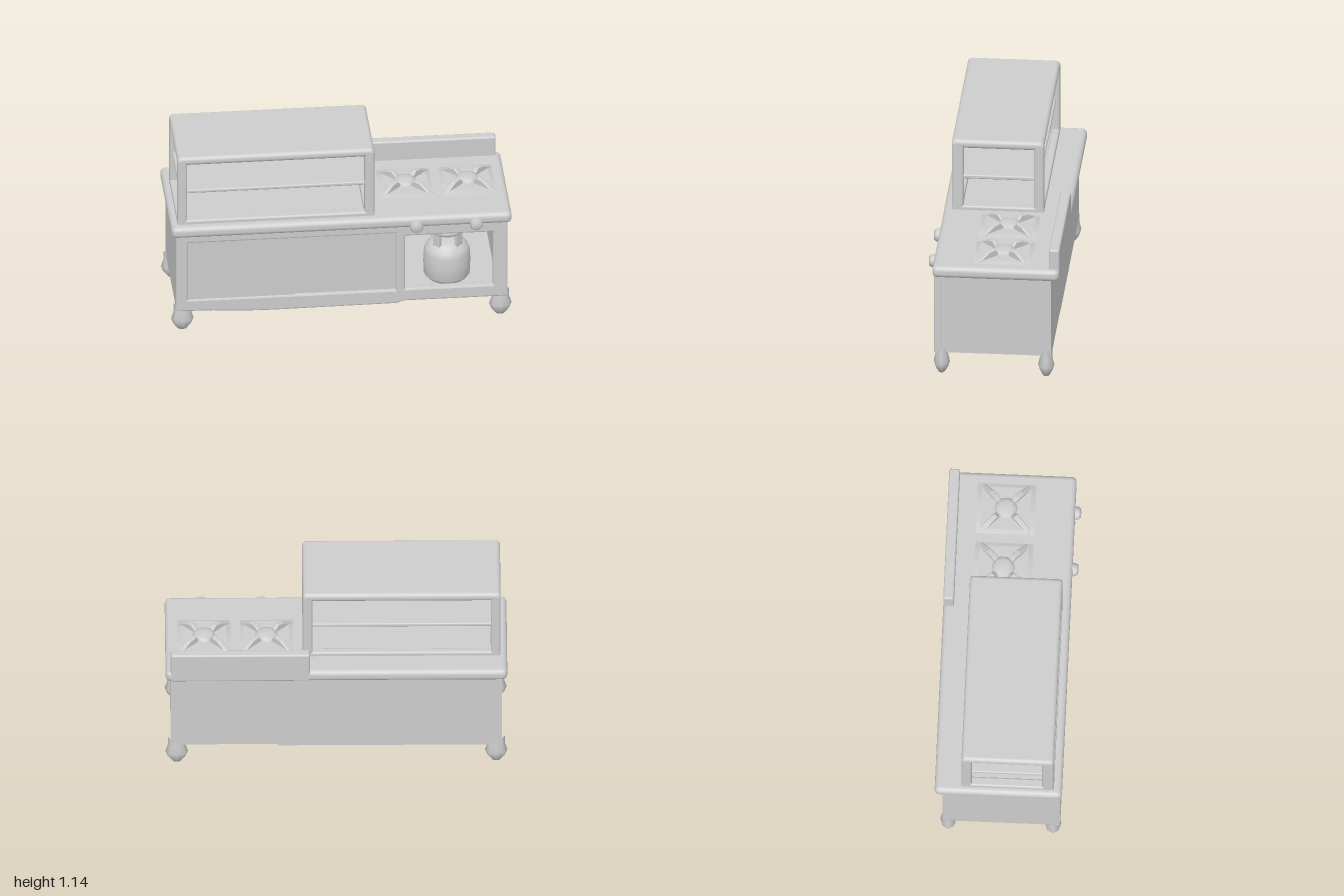
import * as THREE from 'three';
import { RoundedBoxGeometry } from 'three/addons/geometries/RoundedBoxGeometry.js';

export function createModel() {
  const model = new THREE.Group();
  model.name = 'kitchenCounter';
  const steel = new THREE.MeshStandardMaterial({ color: 0xcccccc });
  steel.name = 'light grey';

  function add(name, geometry, parent = model) {
    const mesh = new THREE.Mesh(geometry, steel);
    mesh.name = name;
    parent.add(mesh);
    return mesh;
  }
  // Box given by its limits on each axis, with optional rounded edges
  function box(name, [x0, x1], [y0, y1], [z0, z1], r = 0, parent = model) {
    const s = [x1 - x0, y1 - y0, z1 - z0];
    const g = r ? new RoundedBoxGeometry(...s, 3, r) : new THREE.BoxGeometry(...s);
    const mesh = add(name, g, parent);
    mesh.position.set((x0 + x1) / 2, (y0 + y1) / 2, (z0 + z1) / 2);
    return mesh;
  }
  function group(name, x, y, z) {
    const g = new THREE.Group();
    g.name = name;
    g.position.set(x, y, z);
    model.add(g);
    return g;
  }
  function lathe(points, sides) {
    return new THREE.LatheGeometry(points.map(p => new THREE.Vector2(...p)), sides);
  }
  function rectHole(x0, x1, y0, y1) {
    const h = new THREE.Path();
    h.moveTo(x0, y0);
    h.lineTo(x0, y1);
    h.lineTo(x1, y1);
    h.lineTo(x1, y0);
    h.closePath();
    return h;
  }

  // Cabinet body and open bay
  box('cabinet', [-0.965, 0.34], [0.13, 0.65], [-0.34, 0.31]);
  box('bayFloor', [0.33, 0.965], [0.14, 0.2], [-0.34, 0.33]);
  box('bayBack', [0.33, 0.965], [0.15, 0.65], [-0.34, -0.31]);
  box('baySide', [0.91, 0.965], [0.14, 0.65], [-0.34, 0.33]);

  // Front frame with door and bay openings and a bowed lower edge
  const face = new THREE.Shape();
  face.moveTo(-0.96, 0.64);
  face.lineTo(-0.96, 0.145);
  face.lineTo(-0.75, 0.14);
  face.quadraticCurveTo(-0.55, 0.125, -0.4, 0.125);
  face.lineTo(0.32, 0.13);
  face.lineTo(0.36, 0.145);
  face.lineTo(0.96, 0.145);
  face.lineTo(0.96, 0.64);
  face.closePath();
  face.holes.push(rectHole(-0.91, 0.325, 0.2, 0.6), rectHole(0.36, 0.895, 0.205, 0.58));
  const frame = add('frontFrame', new THREE.ExtrudeGeometry(face, {
    depth: 0.03, bevelSize: 0.01, bevelThickness: 0.01, bevelSegments: 2, curveSegments: 8,
  }));
  frame.position.z = 0.305;

  // Sliding doors, one in front of the other
  box('leftDoor', [-0.91, -0.28], [0.2, 0.6], [0.305, 0.336]);
  box('rightDoor', [-0.29, 0.325], [0.2, 0.6], [0.3, 0.324]);

  // Worktop and splash guard
  box('worktop', [-0.995, 0.995], [0.625, 0.697], [-0.387, 0.355], 0.03);
  box('splashGuard', [0.155, 0.965], [0.63, 0.82], [-0.387, -0.325], 0.012);

  // Overhead shelf unit
  for (const [x0, x1] of [[-0.957, -0.9], [0.138, 0.195]]) {
    box('frontPost', [x0, x1], [0.68, 1.13], [0.238, 0.307], 0.016);
    box('backPost', [x0, x1], [0.68, 1.13], [-0.232, -0.172], 0.016);
    box('sideRail', [x0 + 0.015, x1 - 0.015], [0.89, 0.915], [-0.2, 0.27], 0.008);
    box('sideSill', [x0, x1], [0.68, 0.722], [-0.2, 0.27], 0.012);
  }
  box('shelfTop', [-0.957, 0.195], [1.088, 1.142], [-0.232, 0.307], 0.024);
  box('middleShelf', [-0.93, 0.17], [0.892, 0.915], [-0.21, 0.285], 0.008);
  box('frontSill', [-0.957, 0.195], [0.68, 0.722], [0.245, 0.307], 0.012);
  box('backSill', [-0.957, 0.195], [0.68, 0.722], [-0.232, -0.185], 0.012);

  // Knobbly tapered feet
  const footShape = lathe([[0, 0], [0.028, 0.005], [0.052, 0.035], [0.066, 0.07], [0.052, 0.115], [0.05, 0.17]], 8);
  for (const x of [-0.93, 0.93]) for (const z of [-0.308, 0.302]) {
    const foot = add('foot', footShape);
    foot.position.set(x, 0, z);
    foot.scale.z = 0.72;
  }

  // Burners: low pan, centre cap and four upright prongs
  const prongShape = new THREE.Shape();
  prongShape.moveTo(0.045, 0);
  prongShape.lineTo(0.055, 0.022);
  prongShape.lineTo(0.085, 0.05);
  prongShape.lineTo(0.125, 0.044);
  prongShape.lineTo(0.195, 0.006);
  prongShape.lineTo(0.195, 0);
  prongShape.closePath();
  const prongGeometry = new THREE.ExtrudeGeometry(prongShape, {
    depth: 0.02, bevelSize: 0.004, bevelThickness: 0.006, bevelSegments: 1,
  });
  prongGeometry.translate(0, 0, -0.01);
  const panGeometry = new THREE.CylinderGeometry(0.185, 0.222, 0.014, 4, 1);
  panGeometry.rotateY(Math.PI / 4);
  for (const x of [0.405, 0.77]) {
    const burner = group('burner', x, 0.697, -0.048);
    const pan = add('pan', panGeometry, burner);
    pan.position.y = 0.006;
    pan.scale.z = 1.1;
    const cap = add('cap', lathe([[0.07, 0], [0.062, 0.022], [0.04, 0.03], [0, 0.032]], 10), burner);
    cap.position.y = 0.008;
    for (let i = 0; i < 4; i++) {
      const prong = add('prong', prongGeometry, burner);
      prong.rotation.y = Math.PI / 4 + i * Math.PI / 2;
    }
  }

  // Control knobs
  for (const x of [0.435, 0.785]) {
    const knob = add('controlKnob', lathe([[0.038, 0], [0.038, 0.045], [0.028, 0.058], [0, 0.06]], 12));
    knob.rotation.x = Math.PI / 2;
    knob.position.set(x, 0.642, 0.33);
  }

  // Gas bottle with carrying collar and valve
  const bottle = group('gasBottle', 0.63, 0.2, 0.17);
  add('tank', lathe([[0, 0], [0.115, 0], [0.135, 0.025], [0.138, 0.1], [0.135, 0.17], [0.125, 0.2],
    [0.1, 0.23], [0.07, 0.25], [0, 0.258]], 20), bottle);
  const rim = add('collarRim', new THREE.TorusGeometry(0.09, 0.017, 6, 20), bottle);
  rim.rotation.x = Math.PI / 2;
  rim.position.y = 0.32;
  for (let i = 0; i < 4; i++) {
    const a = Math.PI / 4 + i * Math.PI / 2;
    const strut = box('collarStrut', [-0.025, 0.025], [0.215, 0.32], [-0.01, 0.01], 0, bottle);
    strut.position.set(Math.sin(a) * 0.088, 0.267, Math.cos(a) * 0.088);
    strut.rotation.y = a;
  }
  const valve = add('valve', lathe([[0.025, 0], [0.02, 0.03], [0.04, 0.035], [0.04, 0.055], [0, 0.06]], 10), bottle);
  valve.position.y = 0.25;

  return model;
}
